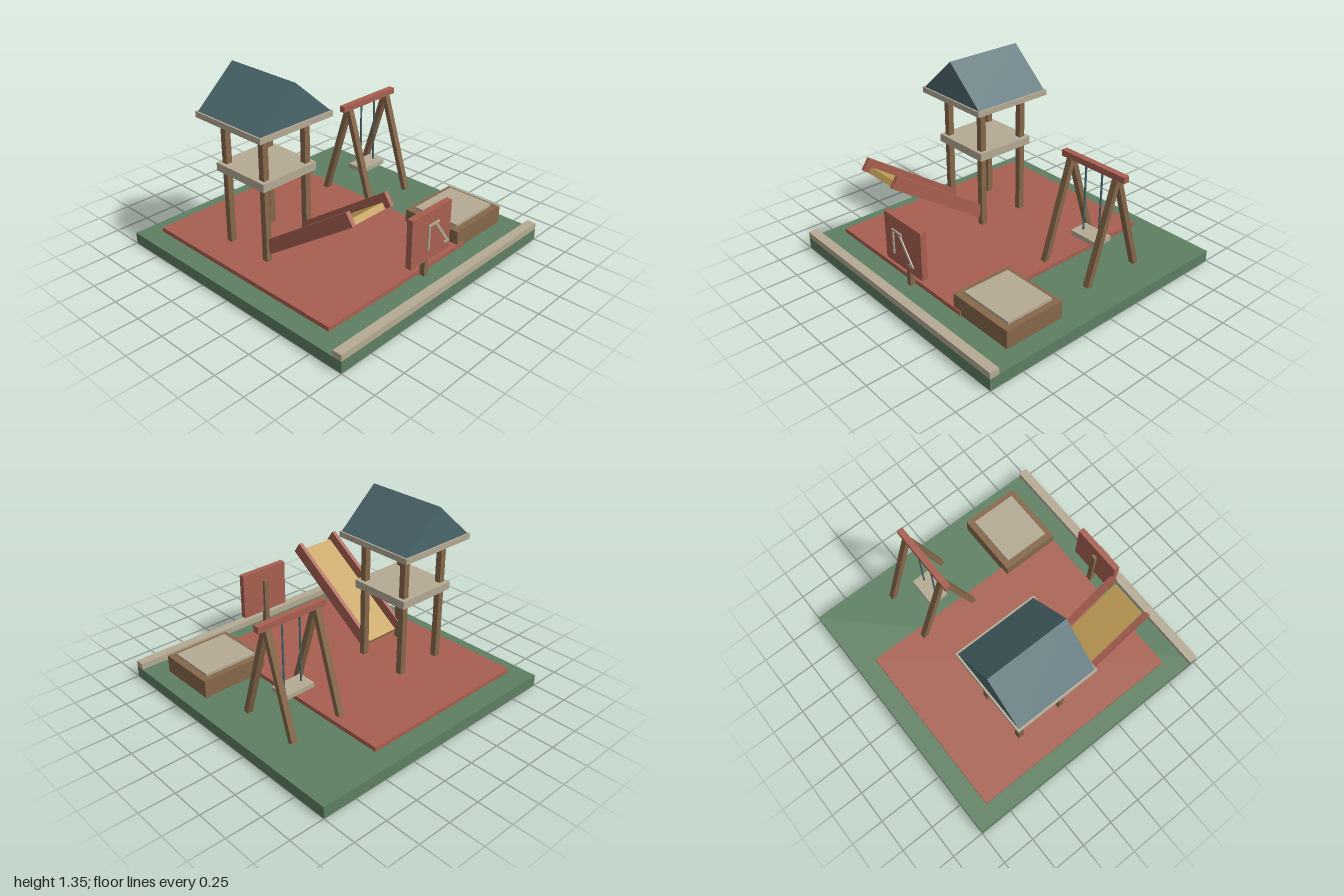
import * as THREE from 'three';

const mat = (name, color) => {
  const m = new THREE.MeshStandardMaterial({ color });
  m.name = name;
  return m;
};

export function createModel() {
  const green = mat('grass green', 0x5e7f62);
  const red = mat('brick red', 0xa86050);
  const cream = mat('warm cream', 0xb4aa94);
  const brown = mat('wood brown', 0x86684a);
  const blue = mat('slate blue', 0x4c686e);
  const yellow = mat('slide yellow', 0xc29e57);

  const model = new THREE.Group();
  model.name = 'playground';
  const group = (name) => {
    const g = new THREE.Group();
    g.name = name;
    model.add(g);
    return g;
  };

  // Box given by its extents on each axis
  const box = (parent, name, material, [x0, x1], [y0, y1], [z0, z1]) => {
    const mesh = new THREE.Mesh(new THREE.BoxGeometry(x1 - x0, y1 - y0, z1 - z0), material);
    mesh.position.set((x0 + x1) / 2, (y0 + y1) / 2, (z0 + z1) / 2);
    mesh.name = name;
    parent.add(mesh);
    return mesh;
  };

  // Beam leaning in the z-y plane, between two centre points [z, y]
  const leaning = (parent, name, material, x, width, depth, a, b) => {
    const dz = b[0] - a[0], dy = b[1] - a[1];
    const mesh = new THREE.Mesh(new THREE.BoxGeometry(width, Math.hypot(dz, dy), depth), material);
    mesh.position.set(x, (a[1] + b[1]) / 2, (a[0] + b[0]) / 2);
    mesh.rotation.x = Math.atan2(dz, dy);
    mesh.name = name;
    parent.add(mesh);
  };

  // Ground, soft mat and front curb
  const ground = group('ground');
  box(ground, 'lawn', green, [-1, 1], [0, 0.083], [-1, 1]);
  box(ground, 'safetyMat', red, [-0.87, 0.45], [0.097, 0.129], [-0.86, 0.775]);
  box(ground, 'curb', cream, [-1, 1], [0.083, 0.129], [0.932, 1]);

  // Tower: four posts, platform and gabled roof
  const tower = group('tower');
  for (const x of [-0.635, -0.275])
    for (const z of [-0.38, -0.018])
      box(tower, 'towerPost', brown, [x - 0.022, x + 0.022], [0.129, 0.98], [z - 0.022, z + 0.022]);
  box(tower, 'platform', cream, [-0.685, -0.225], [0.662, 0.72], [-0.43, 0.03]);
  box(tower, 'roofBase', cream, [-0.765, -0.145], [1.043, 1.083], [-0.51, 0.11]);
  const gable = new THREE.Shape([
    new THREE.Vector2(-0.298, 0), new THREE.Vector2(0.298, 0), new THREE.Vector2(0, 0.267),
  ]);
  const roof = new THREE.Mesh(new THREE.ExtrudeGeometry(gable, { depth: 0.595, bevelEnabled: false }), blue);
  roof.position.set(-0.455, 1.083, -0.497);
  roof.name = 'roof';
  tower.add(roof);

  // Slide: inclined bed between two side rails
  const slide = group('slide');
  leaning(slide, 'slideBed', yellow, -0.453, 0.265, 0.043, [-0.017, 0.193], [0.703, 0.688]);
  for (const x of [-0.62, -0.285])
    leaning(slide, 'slideRail', red, x, 0.03, 0.095, [-0.007, 0.229], [0.713, 0.724]);

  // Swing: A-frames, top beam, hanging rods and seat
  const swing = group('swing');
  for (const x of [0.381, 0.777])
    for (const side of [-1, 1])
      leaning(swing, 'swingLeg', brown, x, 0.043, 0.038, [-0.242 + side * 0.226, 0.118], [-0.242, 0.845]);
  box(swing, 'swingBeam', red, [0.31, 0.852], [0.829, 0.873], [-0.265, -0.22]);
  for (const x of [0.513, 0.653]) {
    const rod = new THREE.Mesh(new THREE.CylinderGeometry(0.007, 0.007, 0.49, 8), blue);
    rod.position.set(x, 0.588, -0.242);
    rod.name = 'swingRod';
    swing.add(rod);
  }
  box(swing, 'swingSeat', cream, [0.465, 0.695], [0.311, 0.345], [-0.315, -0.173]);

  // Sandbox
  const sandbox = group('sandbox');
  box(sandbox, 'sandboxFrame', brown, [0.38, 0.88], [0.097, 0.226], [0.317, 0.767]);
  box(sandbox, 'sand', cream, [0.428, 0.835], [0.2, 0.245], [0.362, 0.72]);

  // Sign board with a small slide pictogram
  const sign = group('sign');
  box(sign, 'signPost', brown, [-0.042, -0.005], [0.1, 0.5], [0.783, 0.82]);
  box(sign, 'signBoard', red, [-0.218, 0.172], [0.243, 0.592], [0.805, 0.848]);
  const bar = (name, a, b, width) => {
    const dx = b[0] - a[0], dy = b[1] - a[1];
    const mesh = new THREE.Mesh(new THREE.BoxGeometry(Math.hypot(dx, dy), width, 0.009), cream);
    mesh.position.set((a[0] + b[0]) / 2, (a[1] + b[1]) / 2, 0.877);
    mesh.rotation.z = Math.atan2(dy, dx);
    mesh.name = name;
    sign.add(mesh);
  };
  bar('pictogramLadder', [-0.087, 0.342], [-0.087, 0.522], 0.016);
  bar('pictogramPlatform', [-0.095, 0.517], [0.01, 0.517], 0.015);
  bar('pictogramChute', [-0.022, 0.514], [0.108, 0.334], 0.019);
  bar('pictogramLanding', [0.075, 0.331], [0.122, 0.331], 0.018);

  return model;
}
